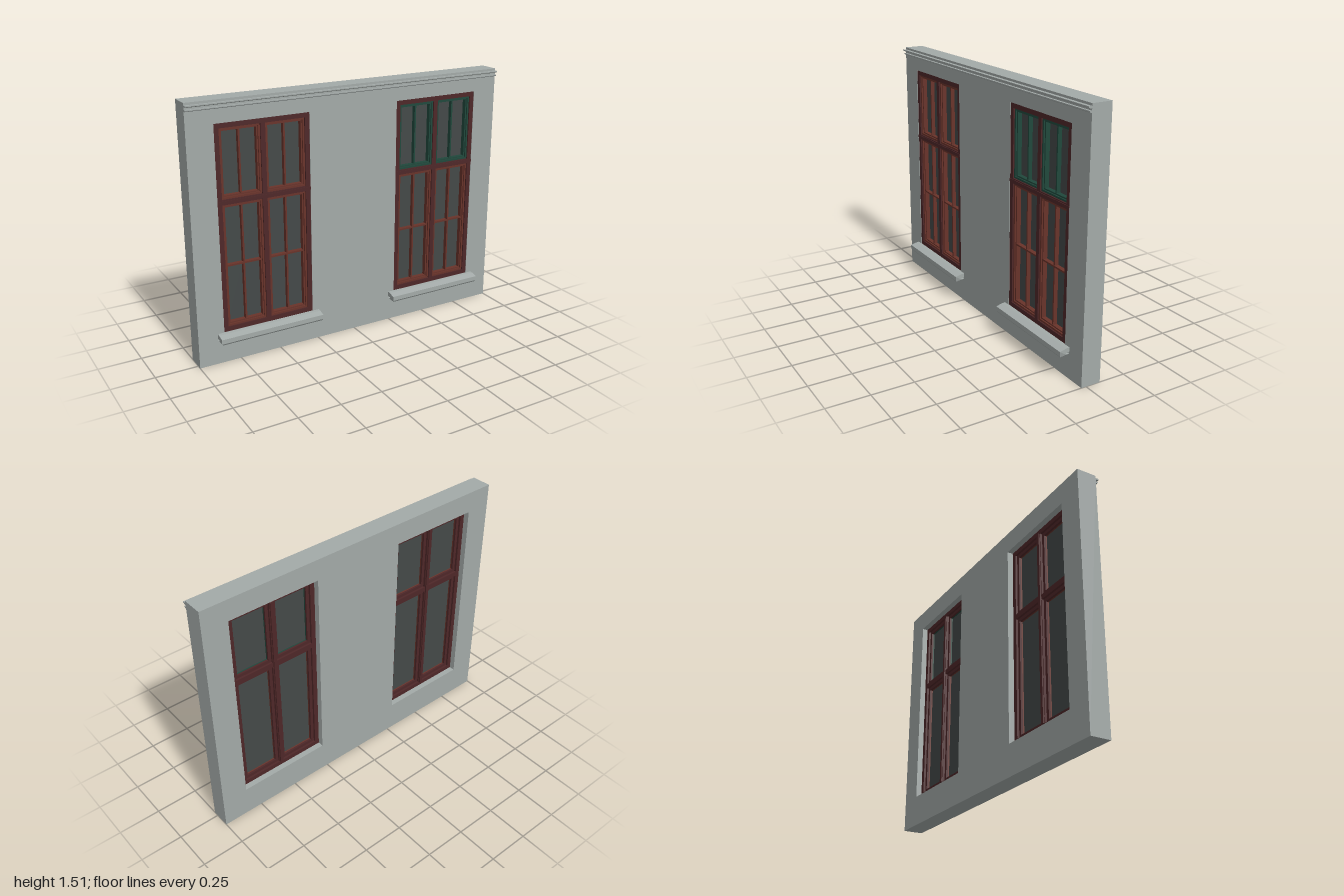
import * as THREE from 'three';

const mat = (name, color) => {
  const m = new THREE.MeshStandardMaterial({ color });
  m.name = name;
  return m;
};

export function createModel() {
  const plaster = mat('grey plaster', 0xa3aaa8);
  const frameRed = mat('dark red frame', 0x4e2728);
  const sashRed = mat('brown red sash', 0x69332a);
  const green = mat('green sash', 0x20483c);
  const glass = mat('dark glass', 0x444948);

  const model = new THREE.Group();
  model.name = 'wallWithWindows';

  const add = (parent, name, geometry, material) => {
    const mesh = new THREE.Mesh(geometry, material);
    mesh.name = name;
    parent.add(mesh);
    return mesh;
  };

  // Box given by its limits on each axis
  const block = (parent, name, material, x0, x1, y0, y1, z0, z1) => {
    const g = new THREE.BoxGeometry(x1 - x0, y1 - y0, z1 - z0);
    g.translate((x0 + x1) / 2, (y0 + y1) / 2, (z0 + z1) / 2);
    return add(parent, name, g, material);
  };

  const rect = (path, x0, x1, y0, y1) => {
    path.moveTo(x0, y0);
    path.lineTo(x1, y0);
    path.lineTo(x1, y1);
    path.lineTo(x0, y1);
    path.closePath();
    return path;
  };

  // Slab between z0 and z1 with rectangular holes, each [x0, x1, y0, y1]
  const slab = (parent, name, material, outer, holes, z0, z1) => {
    const shape = rect(new THREE.Shape(), ...outer);
    shape.holes = holes.map((h) => rect(new THREE.Path(), ...h));
    const g = new THREE.ExtrudeGeometry(shape, { depth: z1 - z0, bevelEnabled: false });
    g.translate(0, 0, z0);
    return add(parent, name, g, material);
  };

  const inset = ([x0, x1, y0, y1], d) => [x0 + d, x1 - d, y0 + d, y1 - d];

  // Profile in (z, y) swept along x, centred on x = 0
  const sweepX = (points, length) => {
    const shape = new THREE.Shape(points.map(([z, y]) => new THREE.Vector2(-z, y)));
    const g = new THREE.ExtrudeGeometry(shape, { depth: length, bevelEnabled: false });
    g.translate(0, 0, -length / 2);
    return g.rotateY(Math.PI / 2);
  };

  // Wall with two openings
  const centres = [-0.565, 0.565];
  const openings = centres.map((c) => [c - 0.28, c + 0.28, 0.185, 1.385]);
  slab(model, 'wall', plaster, [-1, 1, 0, 1.512], openings, -0.09, 0.03);

  // Cornice mouldings along the top
  add(model, 'upperCornice', sweepX(
    [[0.03, 1.488], [0.042, 1.488], [0.05, 1.493], [0.05, 1.499], [0.03, 1.499]], 2), plaster);
  add(model, 'lowerCornice', sweepX(
    [[0.03, 1.466], [0.038, 1.466], [0.043, 1.47], [0.043, 1.476], [0.03, 1.476]], 2), plaster);

  // One casement: stepped sash, glass and glazing bars
  const casement = (parent, name, area, material, crossBar) => {
    const sash = new THREE.Group();
    sash.name = name;
    parent.add(sash);
    const bead = inset(area, 0.011);
    const pane = inset(area, 0.019);
    slab(sash, 'sashFrame', material, area, [bead], -0.03, 0.019);
    slab(sash, 'sashBead', material, bead, [pane], -0.03, 0.011);
    slab(sash, 'innerLining', frameRed, area, [pane], -0.042, -0.03);
    const [x0, x1, y0, y1] = pane;
    block(sash, 'pane', glass, x0, x1, y0, y1, -0.022, -0.016);
    const mid = (x0 + x1) / 2;
    block(sash, 'verticalBar', material, mid - 0.005, mid + 0.005, y0, y1, -0.016, 0.008);
    if (crossBar) {
      block(sash, 'crossBar', material, x0, x1, crossBar - 0.005, crossBar + 0.005, -0.016, 0.01);
    }
  };

  centres.forEach((c, i) => {
    const win = new THREE.Group();
    win.name = i ? 'leftWindow' : 'rightWindow';
    model.add(win);

    // Fixed frame with mullion and transom
    const columns = [[c - 0.252, c - 0.014], [c + 0.014, c + 0.252]];
    const rows = [[0.212, 0.933], [0.963, 1.357]];
    const areas = columns.flatMap((x) => rows.map((y) => [...x, ...y]));
    slab(win, 'frame', frameRed, openings[i], areas, -0.055, 0.027);
    block(win, 'transomRail', frameRed, c - 0.28, c + 0.28, 0.94, 0.956, 0.027, 0.031);
    block(win, 'innerMullion', frameRed, c - 0.01, c + 0.01, 0.212, 1.357, -0.063, -0.055);

    // Four casements, the upper pair of one window in green
    areas.forEach((area, k) => {
      const upper = k % 2 === 1;
      casement(win, upper ? 'upperCasement' : 'lowerCasement', area,
        upper && i ? green : sashRed, upper ? 0 : 0.573);
    });

    // Sloped sill with a drip groove, its ends drawn in below
    const g = sweepX([[0.03, 0.185], [0.05, 0.183], [0.09, 0.173], [0.09, 0.146], [0.083, 0.136],
      [0.03, 0.136], [0.03, 0.147], [0.05, 0.147], [0.05, 0.156], [0.03, 0.156]], 0.64);
    const p = g.attributes.position;
    for (let k = 0; k < p.count; k++) {
      if (p.getY(k) < 0.14) p.setX(k, p.getX(k) * 0.975);
    }
    g.computeVertexNormals();
    add(win, 'sill', g, plaster).position.x = c;
  });

  return model;
}
